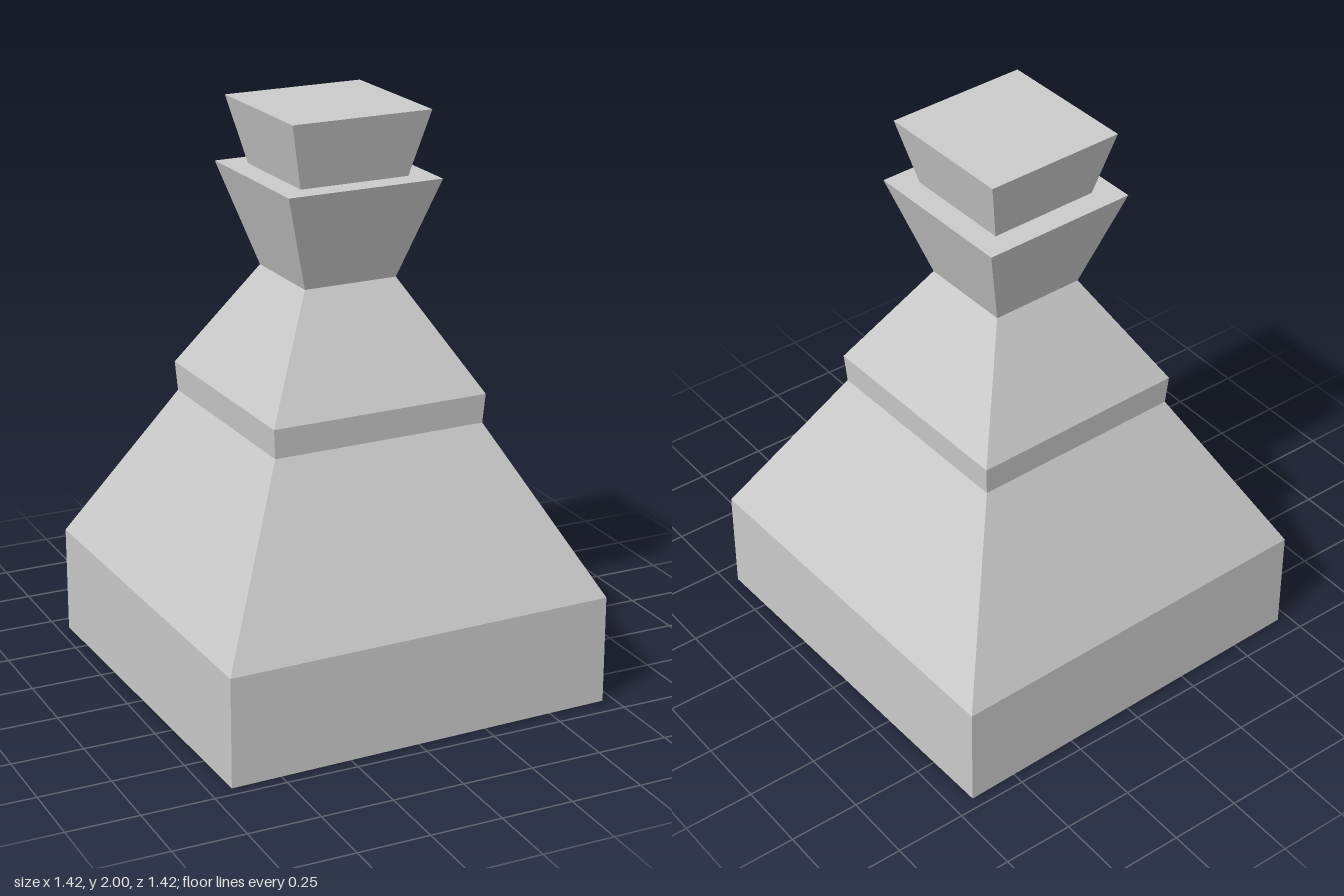
import * as THREE from 'three';

// Square tiers with a slight twist about the vertical axis
const TWIST = THREE.MathUtils.degToRad(46.45);

// Each part is a profile of [corner radius, height], from bottom to top
const parts = {
  base: [[0, 0], [0.98, 0], [0.98, 0.38]],
  lowerSlope: [[0.98, 0.38], [0.54, 0.953]],
  band: [[0.54, 0.953], [0.55, 1.055]],
  upperSlope: [[0.55, 1.055], [0.237, 1.43]],
  collar: [[0.237, 1.43], [0.393, 1.774], [0.276, 1.774]],
  cap: [[0.276, 1.774], [0.354, 2], [0, 2]],
};

export function createModel() {
  const group = new THREE.Group();
  group.name = 'steppedSquareTower';
  const material = new THREE.MeshStandardMaterial({ color: 0xcccccc, flatShading: true });
  for (const [name, profile] of Object.entries(parts)) {
    const points = profile.map(([r, y]) => new THREE.Vector2(r, y));
    const mesh = new THREE.Mesh(new THREE.LatheGeometry(points, 4, TWIST), material);
    mesh.name = name;
    group.add(mesh);
  }
  return group;
}
